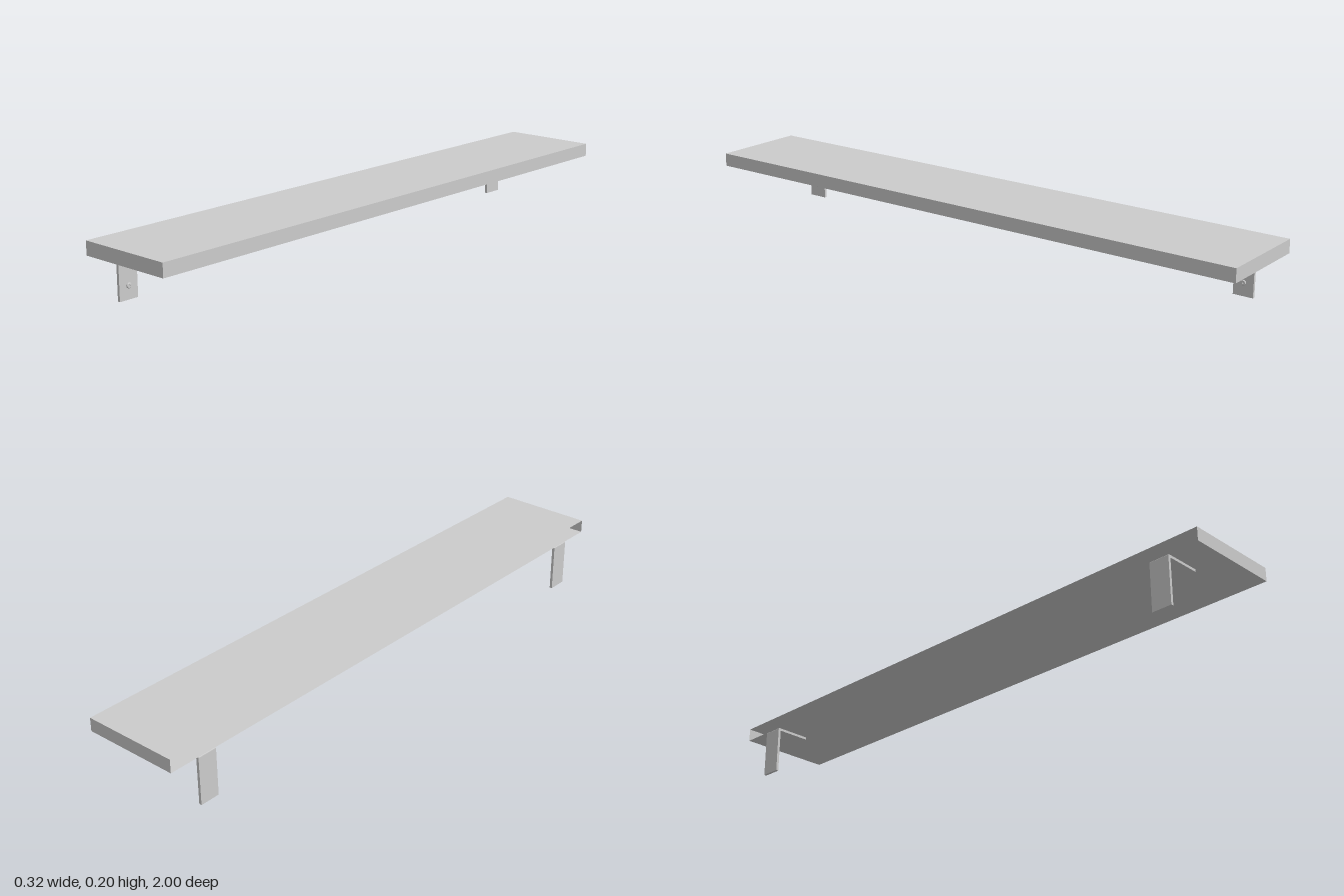
import * as THREE from 'three';

const material = new THREE.MeshStandardMaterial({ color: 0xcccccc, side: THREE.DoubleSide });

function add(parent, geometry, name) {
  const mesh = new THREE.Mesh(geometry, material);
  mesh.name = name;
  parent.add(mesh);
  return mesh;
}

// Board: a hollow box whose wall side (-x) is left open
function makeBoard() {
  const geometry = new THREE.BoxGeometry(0.324, 0.044, 2);
  const index = Array.from(geometry.index.array);
  index.splice(6, 6); // drop the -x face
  geometry.setIndex(index);
  geometry.clearGroups();
  return geometry.translate(0, 0.182, 0);
}

// Bracket: L-shaped plate with a small bend radius, extruded along z
function makePlate(width) {
  const s = new THREE.Shape();
  s.moveTo(-0.162, 0);
  s.lineTo(-0.153, 0);
  s.lineTo(-0.153, 0.148);
  s.quadraticCurveTo(-0.153, 0.151, -0.15, 0.151);
  s.lineTo(-0.039, 0.151);
  s.lineTo(-0.039, 0.1595);
  s.lineTo(-0.158, 0.1595);
  s.quadraticCurveTo(-0.162, 0.1595, -0.162, 0.1555);
  s.closePath();
  return new THREE.ExtrudeGeometry(s, { depth: width, bevelEnabled: false, curveSegments: 4 })
    .translate(0, 0, -width / 2);
}

// Screw head: low disc with a recessed socket
function makeScrewHead() {
  const profile = [[0.0001, 0.002], [0.003, 0.002], [0.003, 0.005], [0.007, 0.005], [0.0085, 0.0035], [0.0085, 0]]
    .reverse().map(([r, h]) => new THREE.Vector2(r, h));
  const geometry = new THREE.LatheGeometry(profile, 20).toNonIndexed();
  geometry.computeVertexNormals();
  return geometry.rotateZ(-Math.PI / 2);
}

export function createModel() {
  const model = new THREE.Group();
  model.name = 'wallShelf';
  add(model, makeBoard(), 'board');

  const plate = makePlate(0.067);
  const head = makeScrewHead();
  for (const side of [1, -1]) {
    const bracket = new THREE.Group();
    bracket.name = side > 0 ? 'frontBracket' : 'backBracket';
    bracket.position.z = side * 0.864;
    add(bracket, plate, 'bracketPlate');
    for (const y of [0.043, 0.115]) {
      add(bracket, head, 'screwHead').position.set(-0.153, y, 0);
    }
    model.add(bracket);
  }
  return model;
}
